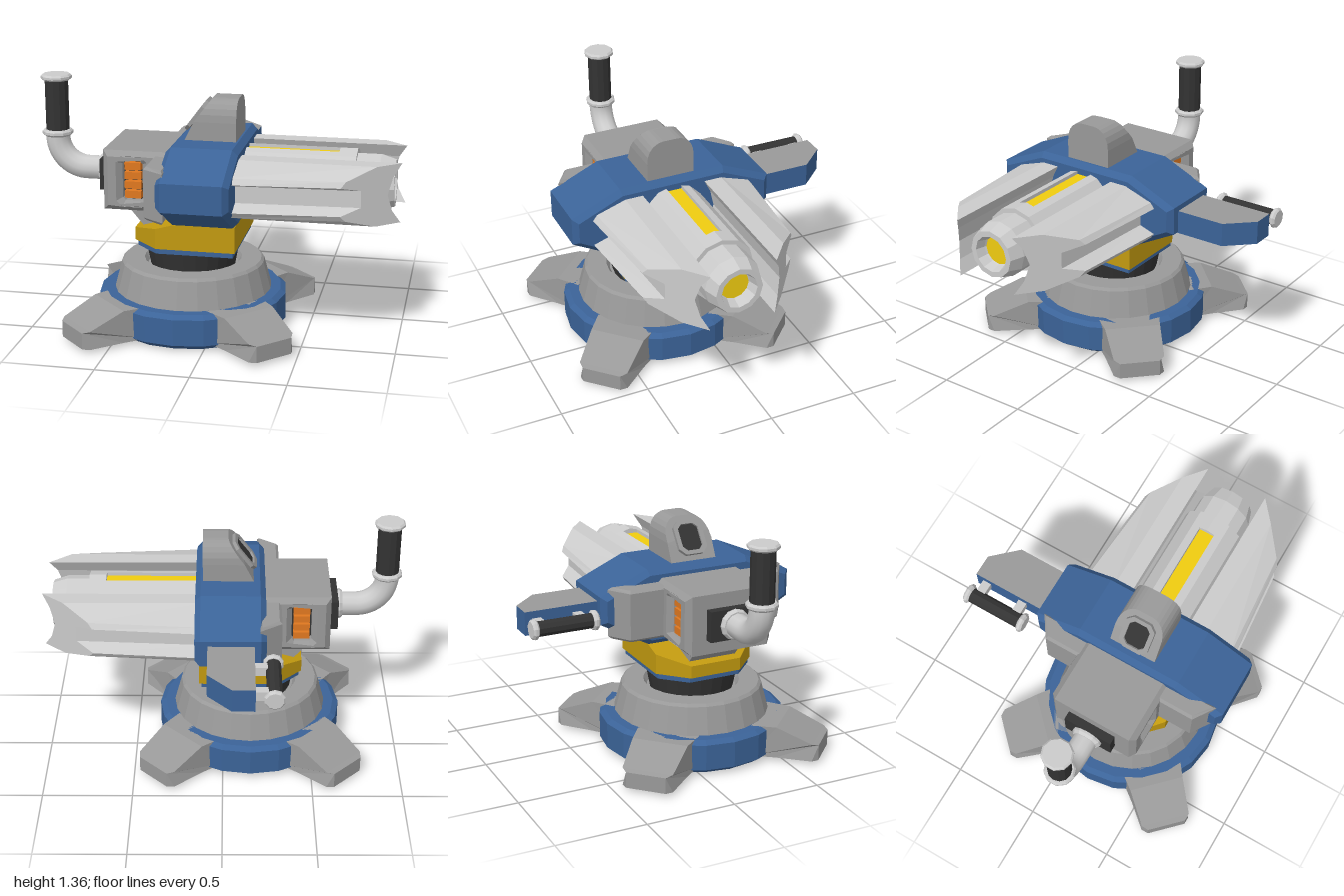
import * as THREE from 'three';

const mat = (color, flatShading = true) =>
  new THREE.MeshStandardMaterial({ color, flatShading, side: THREE.DoubleSide });
const light = mat(0xcccccc), smoothLight = mat(0xcccccc, false), grey = mat(0x999999), blue = mat(0x3b6398);
const mustard = mat(0xc29a10), yellow = mat(0xf0cc10), dark = mat(0x333333), orange = mat(0xe07820);

const CX = -0.155, CZ = 0.18, CY = 0.845; // base centre and barrel axis

const toShape = pts => new THREE.Shape(pts.map(p => new THREE.Vector2(p[0], p[1])));

// Extrusion along z from 0 to depth whose bevel stays inside the outline
function extrude(shape, depth, bevel = 0) {
  const s = Array.isArray(shape) ? toShape(shape) : shape;
  return new THREE.ExtrudeGeometry(s, {
    depth: depth - 2 * bevel, bevelEnabled: bevel > 0, bevelSize: bevel,
    bevelThickness: bevel, bevelOffset: -bevel, bevelSegments: 1, curveSegments: 6,
  }).translate(0, 0, bevel);
}
const alongX = (pts, x0, x1, bevel) => extrude(pts, x1 - x0, bevel).rotateY(Math.PI / 2).translate(x0, 0, 0);
const alongY = (pts, y0, y1, bevel) => extrude(pts, y1 - y0, bevel).rotateX(Math.PI / 2).translate(0, y1, 0);

// Move every vertex by a rule
function reshape(geo, rule) {
  const p = geo.attributes.position, v = new THREE.Vector3();
  for (let i = 0; i < p.count; i++) {
    rule(v.fromBufferAttribute(p, i));
    p.setXYZ(i, v.x, v.y, v.z);
  }
  geo.computeVertexNormals();
  return geo;
}
// Side profile in x,y whose half width depends on x
const tapered = (pts, width) => reshape(extrude(pts, 2).translate(0, 0, -1), v => { v.z *= width(v.x); });
const lathe = (pts, sides) => new THREE.LatheGeometry(pts.map(p => new THREE.Vector2(p[0], p[1])), sides);
const latheX = (pts, sides) => lathe(pts, sides).rotateZ(-Math.PI / 2);

export function createModel() {
  const model = new THREE.Group();
  model.name = 'mountedTurret';
  const add = (name, geo, material, x = 0, y = 0, z = 0, parent = model) => {
    const m = new THREE.Mesh(geo, material);
    m.name = name;
    m.position.set(x, y, z);
    parent.add(m);
    return m;
  };
  const box = (w, h, d) => new THREE.BoxGeometry(w, h, d);

  // Round base
  add('baseRing', lathe([[0.4, 0], [0.47, 0], [0.52, 0.035], [0.52, 0.18], [0.49, 0.2], [0.42, 0.2]], 20), blue, CX, 0, CZ);
  add('baseUnderRim', lathe([[0.35, 0.05], [0.4, 0.05], [0.4, 0]], 20), dark, CX, 0, CZ);
  add('baseFloor', lathe([[0, 0.045], [0.36, 0.045]], 20), grey, CX, 0, CZ);
  add('pedestal', lathe([[0.435, 0.2], [0.395, 0.35], [0.38, 0.365], [0.27, 0.365], [0.25, 0.33], [0, 0.33]], 24), grey, CX, 0, CZ);
  add('neck', lathe([[0.235, 0.33], [0.26, 0.46], [0, 0.47]], 24), dark, CX, 0, CZ);

  // Four feet on the diagonals
  const footProfile = [[0.4, 0.02], [0.54, 0.02], [0.74, 0.02], [0.77, 0.02], [0.77, 0.11], [0.74, 0.12], [0.54, 0.2], [0.4, 0.2]];
  const footWidth = r => (r < 0.5 ? 0.175 : r < 0.6 ? 0.155 : r < 0.75 ? 0.14 : 0.11);
  for (let i = 0; i < 4; i++)
    add('foot', tapered(footProfile, footWidth), grey, CX, 0, CZ).rotation.y = Math.PI / 4 + i * Math.PI / 2;

  // Everything above is placed around the barrel plane z = CZ
  const top = new THREE.Group();
  top.name = 'gunHead';
  top.position.z = CZ;
  model.add(top);
  const part = (name, geo, material, x, y, z) => add(name, geo, material, x, y, z, top);

  // Swivel collar
  const collarWidth = x => (x < -0.4 ? 0.15 : 0.292);
  part('collarPlate', alongY([[0.12, 0.28], [0.12, -0.28], [-0.3, -0.28], [-0.43, -0.15], [-0.43, 0.15], [-0.3, 0.28]], 0.46, 0.49), blue);
  part('collar', tapered([[-0.445, 0.49], [-0.3, 0.49], [-0.2, 0.49], [0.132, 0.49], [0.132, 0.635], [-0.2, 0.63],
    [-0.3, 0.602], [-0.445, 0.56]], collarWidth), mustard);
  part('rearBracket', tapered([[-0.5, 0.69], [-0.4, 0.57], [-0.2, 0.6], [-0.2, 0.69]], () => 0.14), grey);

  // Faceted saddle
  const quarter = [[0.3, 1.06], [0.575, 0.94], [0.575, 0.785], [0.29, 0.63]];
  part('saddle', alongX([...quarter, ...quarter.map(([d, y]) => [-d, y]).reverse()], -0.235, 0.15, 0.03), blue);

  // Sight hood with sloping back
  const hood = new THREE.Shape();
  hood.moveTo(-0.135, 1.04);
  hood.lineTo(0.135, 1.04);
  hood.lineTo(0.135, 1.16);
  hood.bezierCurveTo(0.135, 1.25, 0.08, 1.28, 0.04, 1.28);
  hood.lineTo(-0.04, 1.28);
  hood.bezierCurveTo(-0.08, 1.28, -0.135, 1.25, -0.135, 1.16);
  part('sightHood', reshape(alongX(hood, -0.18, 0.11), v => {
    if (v.x < 0) v.x += Math.max(0, v.y - 1.08) * 0.75;
  }), grey);
  const octagon = (w, h, c) => [[w, h - c], [w - c, h], [c - w, h], [-w, h - c], [-w, c - h], [c - w, -h], [w - c, -h], [w, c - h]];
  const frame = toShape(octagon(0.085, 0.1, 0.035));
  frame.holes.push(new THREE.Path(octagon(0.06, 0.077, 0.025).map(p => new THREE.Vector2(...p))));
  for (const [name, shape, depth, m] of [['sightFrame', frame, 0.02, grey], ['sightLens', octagon(0.065, 0.08, 0.025), 0.008, dark]]) {
    const s = part(name, extrude(shape, depth), m, -0.112, 1.171, 0);
    s.rotation.set(0, -Math.PI / 2, 0);
    s.rotateX(-Math.atan2(0.6, 0.8));
  }

  // Barrel with a long slot above and below
  const section = [];
  for (const s of [1, -1]) {
    section.push([0.045 * s, 0.168 * s], [0.045 * s, 0.14 * s], [-0.045 * s, 0.14 * s], [-0.045 * s, 0.168 * s]);
    for (let k = 1; k < 6; k++) {
      const a = k * Math.PI / 6;
      section.push([-Math.sin(a) * 0.18 * s, Math.cos(a) * 0.18 * s]);
    }
  }
  part('slottedBarrel', alongX(section, 0.1, 0.66), light, 0, CY);
  for (const s of [1, -1]) part('barrelGlow', box(0.53, 0.01, 0.086), yellow, 0.385, CY + 0.145 * s, 0);
  part('muzzle', latheX([[0, 0.65], [0.18, 0.65], [0.18, 0.745], [0.155, 0.745], [0.155, 0.87], [0.13, 0.95],
    [0.1, 0.95], [0.085, 0.9], [0.075, 0.88]], 12), light, 0, CY);
  part('muzzleGlow', latheX([[0.08, 0.89], [0, 0.89]], 12), yellow, 0, CY);

  // Grooved shrouds, cut obliquely at the front
  const half = [[0.18, 0.16], [0.28, 0.16], [0.4, 0.105], [0.42, 0.075], [0.34, 0.045]];
  const shroud = [...half, ...half.map(([d, y]) => [d, -y]).reverse(), [0.215, -0.09], [0.235, 0], [0.215, 0.09]];
  for (const s of [1, -1]) {
    part('barrelShroud', reshape(alongX(shroud.map(([d, y]) => [d * s, y]), 0.1, 0.9), v => {
      const d = Math.abs(v.z);
      if (v.x > 0.5) v.x = 0.992 - (d - 0.18) * 1.21;
      else if (d > 0.3) v.z *= 1.12;
    }), light, 0, CY);

    // Braces behind the saddle
    part('saddleBrace', alongY([[-0.2, 0.2], [-0.32, 0.22], [-0.32, 0.45], [-0.2, 0.53]].map(([x, z]) => [x, z * s]), 0.7, 0.99, 0.015), grey);
  }

  // Rear housing with side vents
  const shell = toShape([[-0.595, 0.68], [-0.2, 0.68], [-0.2, 1.01], [-0.595, 1.01]]);
  shell.holes.push(new THREE.Path(octagon(0.055, 0.11, 0.015).map(([x, y]) => new THREE.Vector2(x - 0.435, y + CY))));
  part('rearHousing', extrude(shell, 0.51, 0.03).translate(0, 0, -0.255), grey);
  part('ventCore', box(0.14, 0.26, 0.38), dark, -0.435, CY, 0);
  for (const s of [1, -1])
    for (let i = 0; i < 4; i++) part('ventBar', box(0.09, 0.04, 0.04), orange, -0.435, CY - 0.078 + i * 0.052, 0.205 * s);

  // Rear handle: mount, bent pipe and grip
  part('handleMount', box(0.05, 0.17, 0.28), dark, -0.617, CY, 0);
  part('pipeCollar', latheX([[0, -0.67], [0.075, -0.67], [0.085, -0.655], [0.085, -0.59]], 12), light, 0, CY);
  const bend = new THREE.CurvePath();
  const P = (x, y) => new THREE.Vector3(x, y, 0);
  bend.add(new THREE.LineCurve3(P(-0.64, CY), P(-0.745, CY)));
  bend.add(new THREE.CubicBezierCurve3(P(-0.745, CY), P(-0.84, CY), P(-0.915, CY + 0.075), P(-0.915, CY + 0.17)));
  bend.add(new THREE.LineCurve3(P(-0.915, CY + 0.17), P(-0.915, 1.03)));
  part('handlePipe', new THREE.TubeGeometry(bend, 20, 0.067, 12), smoothLight);
  const ring = (r, h) => lathe([[0, 0], [r - 0.01, 0], [r, h * 0.3], [r, h * 0.7], [r - 0.01, h], [0, h]], 10);
  part('gripLowerRing', ring(0.085, 0.035), light, -0.915, 1.02, 0);
  part('grip', new THREE.CylinderGeometry(0.065, 0.065, 0.29, 12), dark, -0.915, 1.195, 0);
  part('gripUpperRing', ring(0.085, 0.032), light, -0.915, 1.33, 0);

  // Side arm at the back with a small grip
  const arm = alongY([[-0.17, -0.81], [-0.05, -0.81], [0.08, -0.67], [0.08, -0.34], [-0.17, -0.34]], 0.78, 0.91);
  add('sideArm', arm, [grey, blue]);
  add('sideGrip', new THREE.CylinderGeometry(0.042, 0.042, 0.34, 10).rotateX(Math.PI / 2), dark, -0.268, CY, -0.63);
  for (const z of [-0.815, -0.475]) add('sideGripRing', ring(0.056, 0.034).rotateX(Math.PI / 2), light, -0.268, CY, z);
  for (const z of [-0.745, -0.515]) add('sideGripStrut', box(0.1, 0.05, 0.05), light, -0.21, CY, z);

  return model;
}
